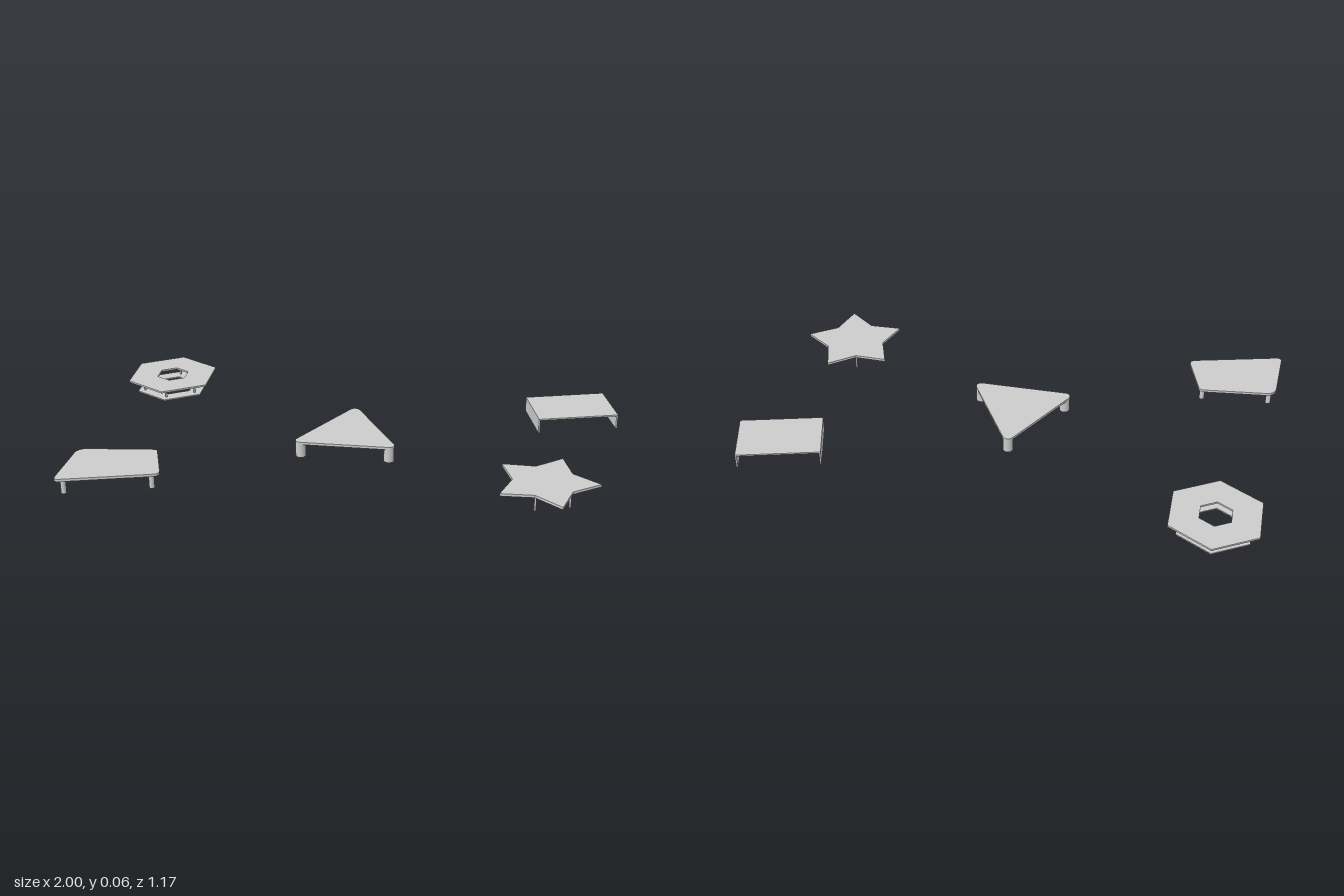
import * as THREE from 'three';

const TOP = 0.064;
const mat = new THREE.MeshStandardMaterial({ color: 0xcccccc });

function add(group, name, geometry, x = 0, y = 0, z = 0) {
  const mesh = new THREE.Mesh(geometry, mat);
  mesh.name = name;
  mesh.position.set(x, y, z);
  group.add(mesh);
  return mesh;
}

// Horizontal slab from a shape drawn in (x, -z)
function slab(shape, y0, y1) {
  const g = new THREE.ExtrudeGeometry(shape, { depth: y1 - y0, bevelEnabled: false, curveSegments: 8 });
  return g.rotateX(-Math.PI / 2).translate(0, y0, 0);
}

// Outline wrapped around circles [x, z, r], listed counter-clockwise from above
function roundedOutline(circles) {
  const n = circles.length;
  const normal = circles.map(([x, z, r], i) => {
    const [x2, z2, r2] = circles[(i + 1) % n];
    return Math.atan2(z - z2, x2 - x) - Math.acos((r - r2) / Math.hypot(x2 - x, z2 - z));
  });
  const shape = new THREE.Shape();
  circles.forEach(([x, z, r], i) => shape.absarc(x, -z, r, normal[(i + n - 1) % n], normal[i], false));
  shape.closePath();
  return shape;
}

// Points on alternating radii around the origin
function radial(count, radii, start = 0) {
  return Array.from({ length: count }, (_, i) => {
    const a = start + (i * 2 * Math.PI) / count, r = radii[i % radii.length];
    return new THREE.Vector2(r * Math.cos(a), r * Math.sin(a));
  });
}

function legs(group, points, radius, y0, y1) {
  for (const [x, z] of points) {
    add(group, 'leg', new THREE.CylinderGeometry(radius, radius, y1 - y0, 20), x, (y0 + y1) / 2, z);
  }
}

function part(root, name, x = 0, z = 0) {
  const g = new THREE.Group();
  g.name = name;
  g.position.set(x, 0, z);
  root.add(g);
  return g;
}

export function createModel() {
  const root = new THREE.Group();
  root.name = 'tableSet';

  // Triangular table with corner legs flush with the rounded corners
  const triangle = part(root, 'triangleTable', -0.02, 0);
  const corners = [[-0.166, 0.157], [0.166, 0.157], [0, -0.13]];
  add(triangle, 'top', slab(roundedOutline(corners.map(([x, z]) => [x, z, 0.02])), 0.054, TOP));
  legs(triangle, corners, 0.0195, 0, 0.054);

  // Irregular four-sided table
  const quad = part(root, 'irregularTable');
  const outline = [[-0.985, 0.568, 0.015], [-0.664, 0.478, 0.022], [-0.71, 0.326, 0.02], [-0.95, 0.372, 0.04]];
  add(quad, 'top', slab(roundedOutline(outline), 0.054, TOP));
  legs(quad, [[-0.972, 0.56], [-0.672, 0.479], [-0.705, 0.341], [-0.963, 0.364]], 0.01, 0, 0.054);

  // Star table with thin legs near the inner corners
  const star = part(root, 'starTable', 0.724, 0.368);
  add(star, 'top', slab(new THREE.Shape(radial(10, [0.195, 0.117])), 0.054, TOP));
  legs(star, radial(5, [0.108], Math.PI / 5).map((p) => [p.x, p.y]), 0.004, 0, 0.054);

  // Bent-sheet rectangular table
  const bench = part(root, 'rectangularTable', 0.82, -0.297);
  bench.rotation.y = THREE.MathUtils.degToRad(15);
  const [w, h, d, t] = [0.315, 0.058, 0.21, 0.006];
  add(bench, 'top', new THREE.BoxGeometry(w, t, d), 0, h - t / 2, 0);
  for (const s of [-1, 1]) {
    add(bench, 'sidePanel', new THREE.BoxGeometry(t, h - t, d), s * (w - t) / 2, (h - t) / 2, 0);
  }

  // Hexagonal ring table on a thin base ring
  const hex = part(root, 'hexagonTable', -0.82, -0.405);
  const ring = (outer, inner) => {
    const shape = new THREE.Shape(radial(6, [outer], Math.PI / 6));
    shape.holes.push(new THREE.Path(radial(6, [inner], Math.PI / 6)));
    return shape;
  };
  add(hex, 'topRing', slab(ring(0.185, 0.065), 0.049, 0.056));
  add(hex, 'baseRing', slab(ring(0.15, 0.09), 0, 0.005));
  legs(hex, radial(6, [0.12], Math.PI / 6).map((p) => [p.x, p.y]), 0.004, 0.005, 0.049);

  return root;
}
